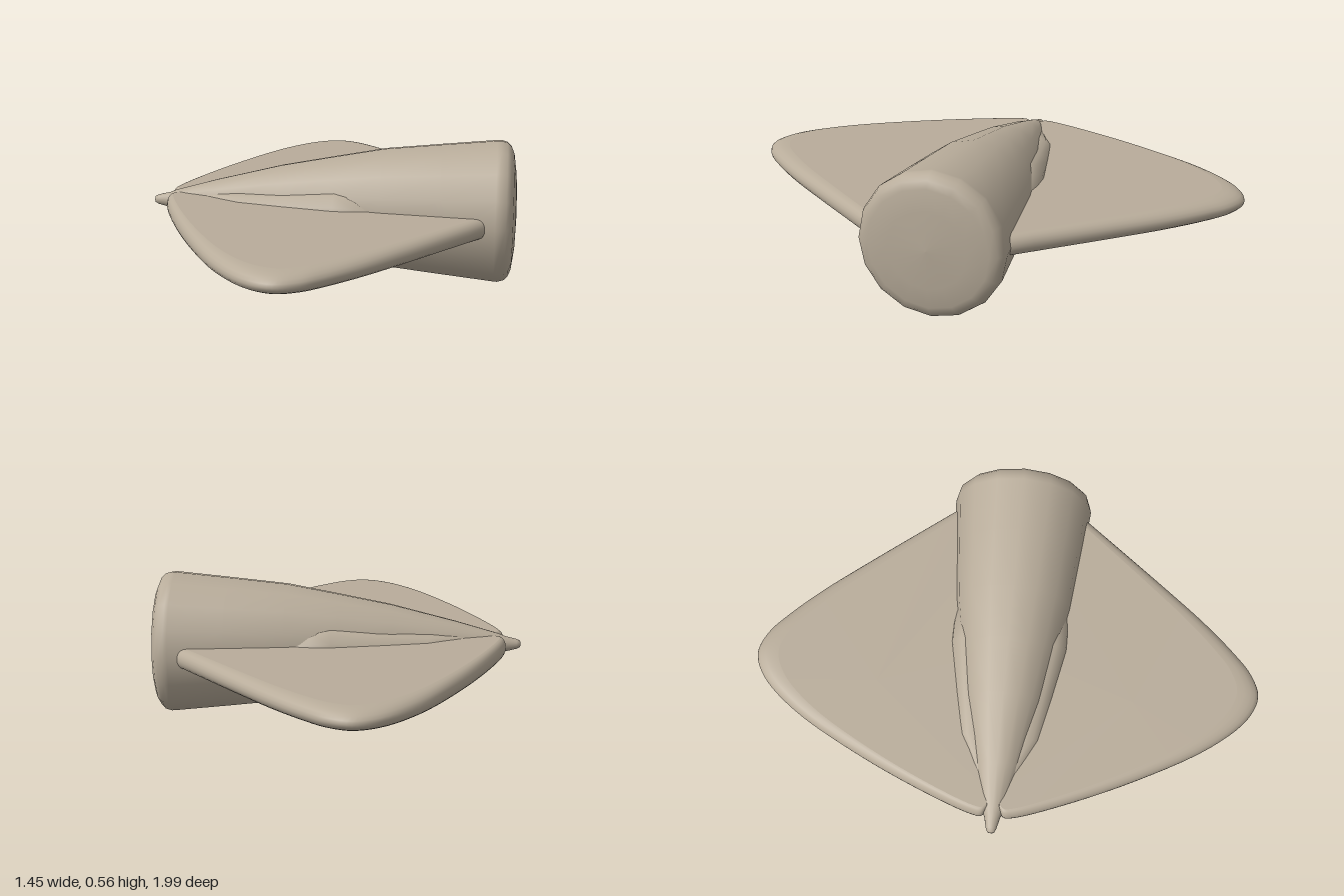
import * as THREE from 'three';

const AXIS_Y = 0.285;

// Skin over closed rings of [x, y, z] points, with fan caps at both ends
function loft(rings) {
  const n = rings[0].length;
  const pos = rings.flat(2);
  const idx = [];
  for (let r = 0; r < rings.length - 1; r++) {
    for (let i = 0; i < n; i++) {
      const a = r * n + i, b = r * n + (i + 1) % n;
      idx.push(a, b, b + n, a, b + n, a + n);
    }
  }
  for (const [ring, flip] of [[rings[0], true], [rings[rings.length - 1], false]]) {
    const base = pos.length / 3;
    pos.push(...ring.flat());
    for (let k = 0; k < 3; k++) pos.push(ring.reduce((s, p) => s + p[k], 0) / n);
    for (let i = 0; i < n; i++) {
      const a = base + i, b = base + (i + 1) % n;
      if (flip) idx.push(b, a, base + n);
      else idx.push(a, b, base + n);
    }
  }
  const g = new THREE.BufferGeometry();
  g.setAttribute('position', new THREE.Float32BufferAttribute(pos, 3));
  g.setIndex(idx);
  g.computeVertexNormals();
  return g;
}

// Flat fin: one outline stacked in height, drawn in towards its faces
function finGeometry() {
  const edge = new THREE.CatmullRomCurve3([
    [0.6, 0.28], [0.345, 0.6], [0.2, 0.775], [0.08, 0.9], [0, 0.967], [-0.085, 0.997],
    [-0.18, 0.96], [-0.31, 0.82], [-0.47, 0.54], [-0.6, 0.25], [-0.66, 0.08],
    [-0.663, 0.045], [-0.645, 0.025],
  ].map(([x, z]) => new THREE.Vector3(x, 0, z)), false, 'centripetal');
  const outline = edge.getPoints(60).map(p => [p.x, p.z]);
  outline.push([-0.6, 0.02], [0, 0.02], [0.604, 0.02], [0.604, 0.27]);
  const rings = [];
  const steps = 10;
  for (let i = 0; i <= steps; i++) {
    const a = -Math.PI / 2 + Math.PI * i / steps;
    const inset = 1 - Math.cos(a);
    const y = 0.04 * Math.sin(a);
    // Outline runs clockwise seen from above, so it is reversed here
    rings.push(outline.map(([x, z]) => [
      -0.05 + (x + 0.05) * (1 - 0.04 * inset), y, z * (1 - 0.09 * inset),
    ]).reverse());
  }
  return loft(orient(rings));
}

// Fairing: oval sections along the body [x, centre z, half width, half height]
function fairingGeometry() {
  const sections = [
    [-0.56, 0.04, 0.015, 0.03], [-0.47, 0.06, 0.045, 0.052], [-0.36, 0.09, 0.075, 0.064],
    [-0.16, 0.12, 0.081, 0.082], [0.02, 0.14, 0.097, 0.105], [0.1, 0.145, 0.092, 0.098],
    [0.2, 0.15, 0.076, 0.06], [0.26, 0.15, 0.03, 0.03],
  ];
  const rings = sections.map(([x, cz, w, h]) => Array.from({ length: 12 }, (_, i) => {
    const a = i * Math.PI / 6;
    return [x, h * Math.sin(a), cz + w * Math.cos(a)];
  }));
  return loft(orient(rings));
}

// Reverse the rings if the skin would face inwards
function orient(rings) {
  const ring = rings[Math.floor(rings.length / 2)];
  const v = p => new THREE.Vector3(...p);
  const centre = l => l.reduce((s, p) => s.add(v(p)), new THREE.Vector3()).divideScalar(l.length);
  const along = centre(rings[rings.length - 1]).sub(centre(rings[0]));
  const c = centre(ring);
  const area = new THREE.Vector3();
  ring.forEach((p, i) => area.add(v(p).sub(c).cross(v(ring[(i + 1) % ring.length]).sub(c))));
  return area.dot(along) < 0 ? rings.map(r => [...r].reverse()) : rings;
}

export function createModel() {
  const model = new THREE.Group();
  const clay = new THREE.MeshStandardMaterial({ color: 0xb8ac9a });
  clay.name = 'warm grey clay';

  const add = (geometry, name) => {
    const mesh = new THREE.Mesh(geometry, clay);
    mesh.name = name;
    mesh.position.y = AXIS_Y;
    model.add(mesh);
    return mesh;
  };

  // Tapered sixteen-sided body: nose at -x, rounded blunt tail at +x
  const profile = [
    [0, -0.728], [0.013, -0.725], [0.02, -0.71], [0.031, -0.665], [0.043, -0.635],
    [0.09, -0.47], [0.156, -0.21], [0.197, 0], [0.235, 0.2], [0.259, 0.43], [0.28, 0.64],
    [0.281, 0.655], [0.274, 0.68], [0.258, 0.696], [0.23, 0.707], [0.15, 0.718], [0, 0.724],
  ].map(([r, x]) => new THREE.Vector2(r, x));
  add(new THREE.LatheGeometry(profile, 16).rotateZ(-Math.PI / 2), 'body');

  // Matching fin and fairing on each side
  const fin = finGeometry();
  const fairing = fairingGeometry();
  for (const [side, turn] of [['front', 0], ['back', Math.PI]]) {
    add(fin, side + 'Fin').rotation.x = turn;
    add(fairing, side + 'Fairing').rotation.x = turn;
  }
  return model;
}
